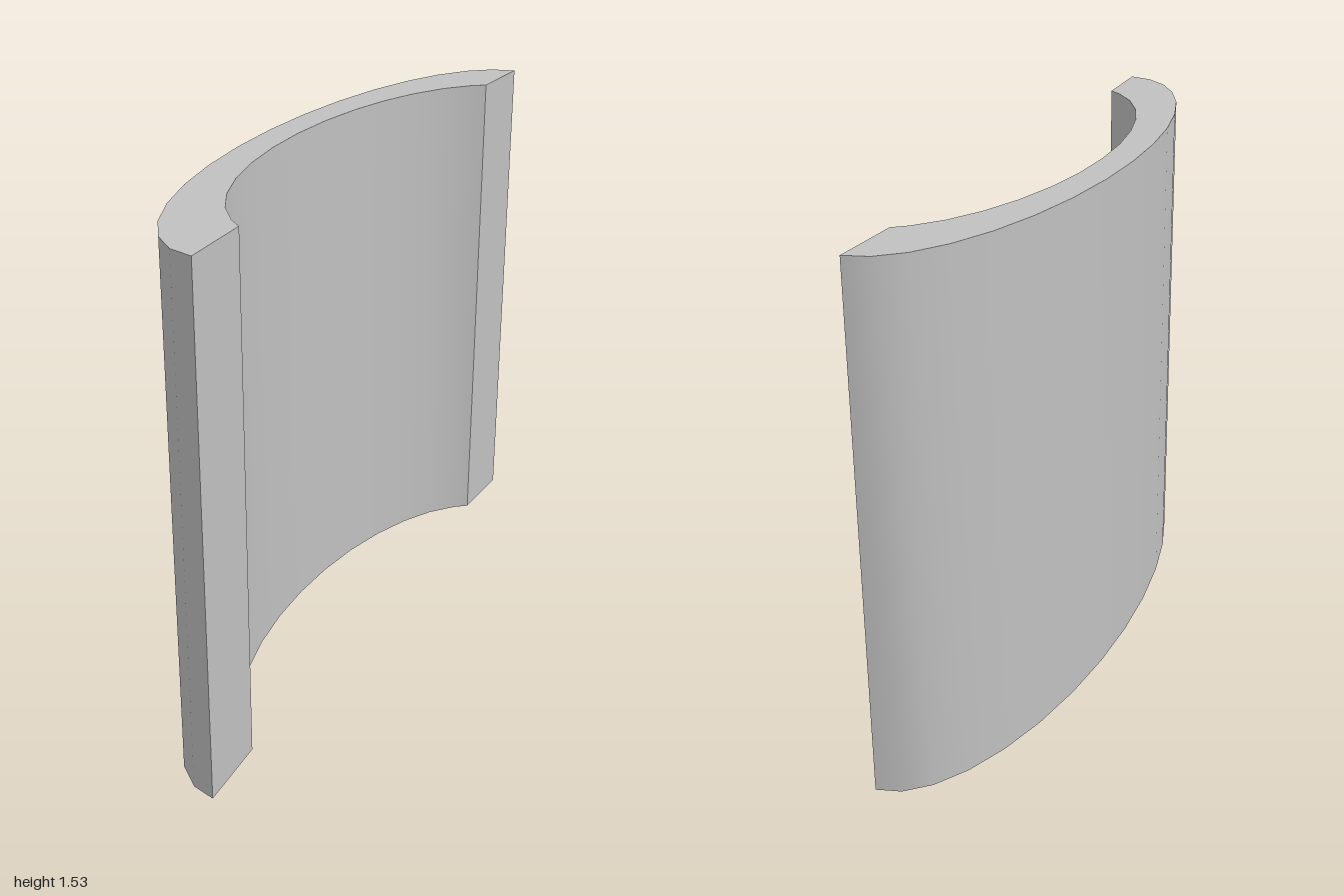
import * as THREE from 'three';
import { toCreasedNormals } from 'three/addons/utils/BufferGeometryUtils.js';

const HEIGHT = 1.53;

// Elliptical arc bulging toward -x, from angle a to angle b (degrees)
function arc(centreX, radiusX, radiusZ, angles) {
  return angles.map((deg) => {
    const t = THREE.MathUtils.degToRad(deg);
    return new THREE.Vector2(centreX - radiusX * Math.cos(t), radiusZ * Math.sin(t));
  });
}

export function createModel() {
  const group = new THREE.Group();
  group.name = 'curvedShell';
  const grey = new THREE.MeshStandardMaterial({ color: 0xc0c0c0 });
  grey.name = 'grey';

  // Outer half ellipse in 16 steps; the inner one is cut short at the tips
  const steps = Array.from({ length: 17 }, (_, i) => -90 + i * 11.25);
  const innerSteps = [-74, ...steps.slice(2, -2), 74];
  const outer = arc(0.18, 0.36, 1, steps);
  const inner = arc(0.27, 0.36, 0.805, innerSteps).reverse();

  // Crescent section extruded upward
  const section = new THREE.Shape([...outer, ...inner]);
  const extruded = new THREE.ExtrudeGeometry(section, { depth: HEIGHT, bevelEnabled: false });
  extruded.rotateX(-Math.PI / 2);

  const shell = new THREE.Mesh(toCreasedNormals(extruded, 0.6), grey);
  shell.name = 'curvedWall';
  group.add(shell);
  return group;
}
